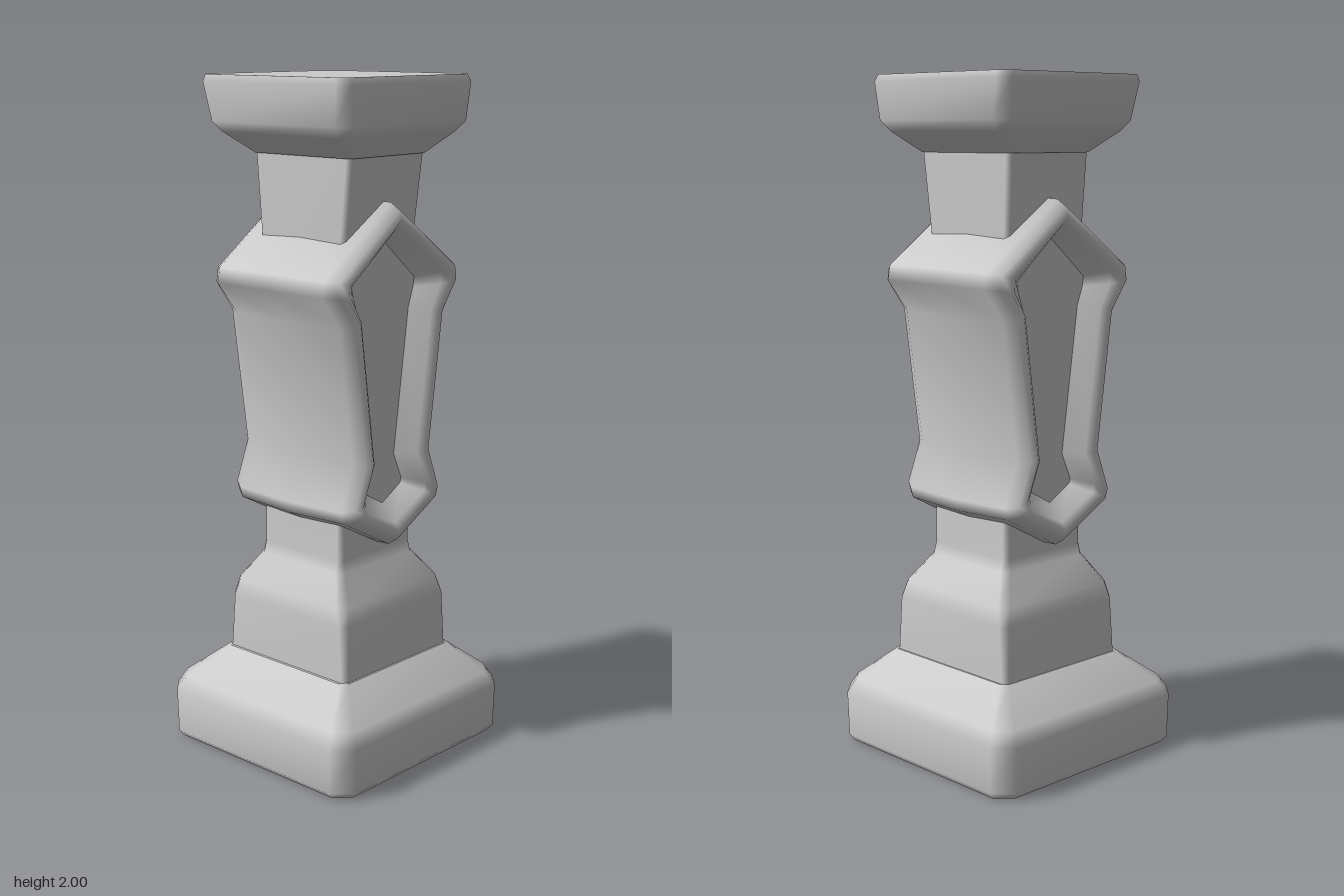
import * as THREE from 'three';

const material = new THREE.MeshStandardMaterial({ color: 0xcccccc });

// Skin a stack of loops (each counter-clockwise seen from the end of travel) and cap both ends flat
function loft(name, loops) {
  const n = loops[0].length;
  const last = loops.length - 1;
  const points = [...loops, loops[0], loops[last]].flat();
  const index = [];
  for (let i = 0; i < last; i++) {
    for (let j = 0; j < n; j++) {
      const a = i * n + j, b = i * n + (j + 1) % n;
      index.push(a, b, b + n, a, b + n, a + n);
    }
  }
  const tri = (base, flip, a, b, c) => {
    if (a === b || b === c || a === c) return;
    index.push(base + a, base + (flip ? c : b), base + (flip ? b : c));
  };
  [[(last + 1) * n, true], [(last + 2) * n, false]].forEach(([base, flip]) => {
    for (let j = 0; j < n / 2; j++) {
      const k = n - j - 1;
      tri(base, flip, j, j + 1, k);
      tri(base, flip, j, k, (k + 1) % n);
    }
  });
  const geometry = new THREE.BufferGeometry();
  geometry.setAttribute('position', new THREE.Float32BufferAttribute(points.flat(), 3));
  geometry.setIndex(index);
  geometry.computeVertexNormals();
  const mesh = new THREE.Mesh(geometry, material);
  mesh.name = name;
  return mesh;
}

// Square section with cut corners: height, x range, z range, corner cut
function section([y, x0, x1, z0, z1, c]) {
  return [
    [x1 - c, y, z1], [x1, y, z1 - c], [x1, y, z0 + c], [x1 - c, y, z0],
    [x0 + c, y, z0], [x0, y, z0 + c], [x0, y, z1 - c], [x0 + c, y, z1],
  ];
}
const block = (name, rows) => loft(name, rows.map(section));

// Right half of the shield outline and of its sunken panel, top to bottom
const rim = [[0, 1.66], [0.285, 1.46], [0.295, 1.415], [0.22, 1.32],
  [0.165, 0.92], [0.215, 0.785], [0.205, 0.75], [0, 0.64]];
const panel = [[0, 1.54], [0.135, 1.425], [0.13, 1.395], [0.11, 1.34],
  [0.05, 0.91], [0.085, 0.83], [0.08, 0.815], [0, 0.77]];

// Full loop at depth z, blended by t from rim to panel
function shieldLoop([z, t]) {
  const half = rim.map(([x, y], i) => [
    THREE.MathUtils.lerp(x, panel[i][0], t),
    THREE.MathUtils.lerp(y, panel[i][1], t), z]);
  const left = half.map(([x, y]) => [-x, y, z]);
  return [...left, ...half.slice(1, -1).reverse()];
}

export function createModel() {
  const group = new THREE.Group();
  group.name = 'pillar';

  group.add(block('base', [
    [0, -0.355, 0.355, -0.355, 0.35, 0.045],
    [0.02, -0.373, 0.37, -0.372, 0.367, 0.055],
    [0.155, -0.375, 0.373, -0.375, 0.37, 0.055],
    [0.195, -0.348, 0.35, -0.35, 0.345, 0.045],
    [0.285, -0.235, 0.245, -0.245, 0.245, 0.02],
  ]));

  group.add(block('pedestal', [
    [0.27, -0.227, 0.24, -0.243, 0.24, 0.015],
    [0.45, -0.224, 0.238, -0.235, 0.233, 0.02],
    [0.5, -0.215, 0.228, -0.226, 0.222, 0.025],
    [0.585, -0.165, 0.165, -0.167, 0.167, 0.02],
    [0.62, -0.157, 0.157, -0.16, 0.16, 0.015],
    [0.8, -0.155, 0.155, -0.155, 0.155, 0.012],
  ]));

  group.add(block('shaft', [
    [0.75, -0.145, 0.145, -0.15, 0.15, 0.012],
    [1.0, -0.14, 0.14, -0.15, 0.15, 0.012],
    [1.5, -0.155, 0.155, -0.158, 0.162, 0.012],
    [1.8, -0.16, 0.163, -0.178, 0.195, 0.012],
  ]));

  // Rounded frame with a sunken panel on the front and on the back
  const profile = [[0.18, 1], [0.232, 0.62], [0.247, 0.45], [0.24, 0.24], [0.205, 0.07]];
  group.add(loft('shield', [
    ...profile.map(([z, t]) => [-z, t]), [0, 0], ...[...profile].reverse(),
  ].map(shieldLoop)));

  group.add(block('capital', [
    [1.78, -0.165, 0.165, -0.18, 0.2, 0.015],
    [1.84, -0.245, 0.245, -0.24, 0.255, 0.025],
    [1.87, -0.275, 0.272, -0.262, 0.28, 0.035],
    [1.98, -0.281, 0.284, -0.285, 0.283, 0.03],
    [2, -0.275, 0.276, -0.28, 0.275, 0.03],
  ]));

  return group;
}
